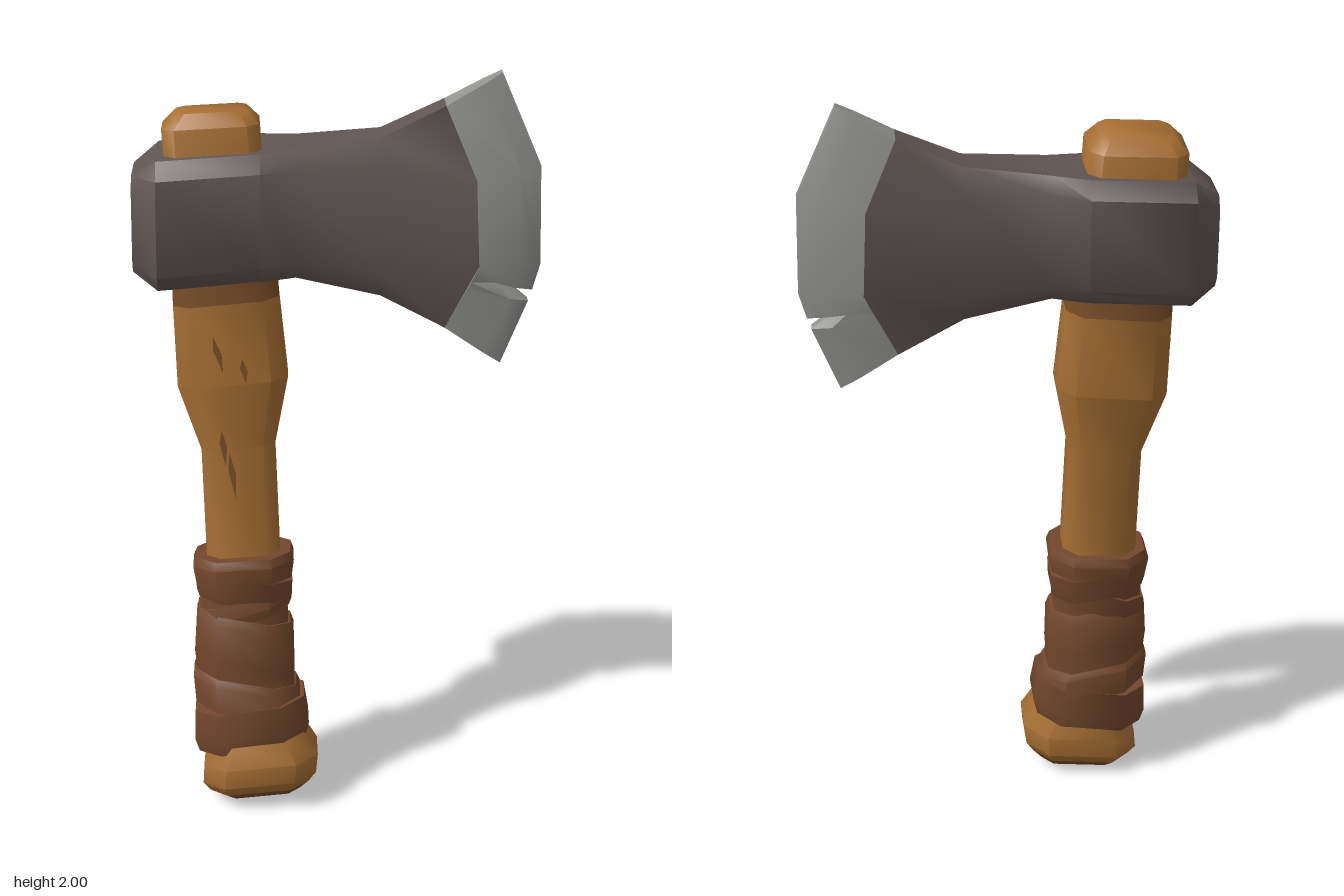
import * as THREE from 'three';
import { toCreasedNormals } from 'three/addons/utils/BufferGeometryUtils.js';

const flat = (name, color) => {
  const m = new THREE.MeshStandardMaterial({ color });
  m.name = name;
  return m;
};

// Skin a list of closed rings of [x, y, z] points, with both ends capped.
function loft(rings, crease) {
  const n = rings[0].length, last = (rings.length - 1) * n;
  const pts = rings.flat(), idx = [];
  for (let r = 0; r < rings.length - 1; r++) {
    for (let i = 0; i < n; i++) {
      const a = r * n + i, b = r * n + (i + 1) % n;
      idx.push(a, b, b + n, a, b + n, a + n);
    }
  }
  for (let i = 1; i < n - 1; i++) {
    idx.push(0, i + 1, i, last, last + i, last + i + 1);
  }
  // Turn the faces outwards when the enclosed volume comes out negative.
  let volume = 0;
  const [a, b, c] = [0, 1, 2].map(() => new THREE.Vector3());
  for (let i = 0; i < idx.length; i += 3) {
    a.fromArray(pts[idx[i]]);
    b.fromArray(pts[idx[i + 1]]);
    c.fromArray(pts[idx[i + 2]]);
    volume += a.dot(b.cross(c));
  }
  if (volume < 0) idx.reverse();
  const g = new THREE.BufferGeometry();
  g.setAttribute('position', new THREE.Float32BufferAttribute(pts.flat(), 3));
  g.setIndex(idx);
  return toCreasedNormals(g, crease);
}

// Chamfered rectangle across the leaning handle; slope tilts it sideways.
function section([y, x0, x1, z0, z1], cut = 0.25, slope = 0.09) {
  const cx = (x0 + x1) / 2, cz = (z0 + z1) / 2;
  const w = (x1 - x0) / 2, d = (z1 - z0) / 2;
  const k = 2 * cut * Math.min(w, d);
  const corners = [[w, d - k], [w - k, d], [k - w, d], [-w, d - k],
    [-w, k - d], [k - w, -d], [w - k, -d], [w, k - d]];
  return corners.map(([x, z]) =>
    [cx + x + 0.08 * z, y + slope * x + 0.07 * z, cz + z - 0.08 * x]);
}

export function createModel() {
  const wood = flat('wood', 0xa87034);
  const stain = flat('dark wood', 0x7b4e28);
  const leather = flat('leather', 0x74482d);
  const iron = flat('iron', 0x5f5552);
  const steel = flat('steel', 0x92928f);

  const axe = new THREE.Group();
  axe.name = 'axe';
  const add = (name, geometry, material, parent = axe) => {
    const mesh = new THREE.Mesh(geometry, material);
    mesh.name = name;
    parent.add(mesh);
    return mesh;
  };

  // Handle: y, x range, z range
  const handle = new THREE.Group();
  handle.name = 'handle';
  axe.add(handle);
  const foot = [0.045, -0.345, -0.075, -0.02, 0.18];
  const neck = [1.42, -0.428, -0.152, -0.1, 0.072];
  const shaft = [foot,
    [0.075, -0.365, -0.055, -0.04, 0.2], [0.13, -0.36, -0.05, -0.04, 0.2],
    [0.2, -0.335, -0.09, -0.03, 0.18], [0.27, -0.33, -0.12, -0.03, 0.15],
    [0.72, -0.35, -0.153, -0.055, 0.095], [1.02, -0.36, -0.164, -0.06, 0.07],
    [1.2, -0.42, -0.13, -0.1, 0.08], neck];
  add('shaft', loft(shaft.map(r => section(r)), 0.8), wood, handle);
  add('footStain', loft([[0.015, -0.31, -0.1, 0.01, 0.14], foot].map(r => section(r)), 0.6),
    stain, handle);
  add('neckStain', loft([neck, [1.56, -0.43, -0.16, -0.1, 0.07]].map(r => section(r)), 0.8),
    stain, handle);
  const peg = [[1.7, -0.44, -0.19, -0.15, 0.03], [1.875, -0.452, -0.202, -0.155, 0.035],
    [1.912, -0.415, -0.235, -0.125, 0.005]];
  add('peg', loft(peg.map(r => section(r, 0.17, 0.05)), 0.9), wood, handle);

  // Cracks in the front of the wood: x, y, z, height, lean
  [[-0.305, 1.29, 0.077, 0.1, 0.25], [-0.238, 1.245, 0.073, 0.07, 0.15],
    [-0.295, 1.03, 0.076, 0.1, 0.1], [-0.272, 0.95, 0.077, 0.13, 0.12]
  ].forEach(([x, y, z, h, lean]) => {
    const w = 0.009;
    const shape = new THREE.Shape([[0, -h / 2], [w, 0], [0, h / 2], [-w, h / 6]]
      .map(p => new THREE.Vector2(...p)));
    const crack = add('crack', new THREE.ExtrudeGeometry(shape,
      { depth: 0.008, bevelEnabled: false }), stain, handle);
    crack.position.set(x, y, z);
    crack.rotation.set(-0.04, 0.08, lean);
  });

  // Leather grip: an underlay, three overlapping bands and a crossing strap
  const grip = new THREE.Group();
  grip.name = 'grip';
  axe.add(grip);
  const wraps = [
    ['gripUnderlay', 0.09, [[0.22, -0.355, -0.1, -0.04, 0.165], [0.45, -0.365, -0.13, -0.045, 0.145],
      [0.69, -0.37, -0.135, -0.06, 0.115]]],
    ['lowerBand', 0.14, [[0.17, -0.375, -0.085, -0.045, 0.18], [0.21, -0.387, -0.075, -0.053, 0.187],
      [0.29, -0.385, -0.088, -0.055, 0.175]]],
    ['lowerBandTop', -0.2, [[0.27, -0.382, -0.09, -0.053, 0.175], [0.345, -0.388, -0.1, -0.058, 0.168],
      [0.365, -0.378, -0.11, -0.05, 0.158]]],
    ['middleBand', -0.2, [[0.36, -0.378, -0.118, -0.05, 0.155], [0.42, -0.384, -0.114, -0.055, 0.155],
      [0.52, -0.378, -0.116, -0.058, 0.148], [0.545, -0.365, -0.125, -0.05, 0.138]]],
    ['crossStrap', 0.32, [[0.535, -0.37, -0.13, -0.055, 0.135], [0.56, -0.378, -0.125, -0.06, 0.138],
      [0.6, -0.375, -0.128, -0.06, 0.13]]],
    ['upperBand', -0.12, [[0.585, -0.37, -0.13, -0.06, 0.128], [0.61, -0.377, -0.122, -0.067, 0.135],
      [0.66, -0.38, -0.12, -0.075, 0.135]]],
    ['upperBandTop', 0.06, [[0.645, -0.378, -0.122, -0.072, 0.134], [0.695, -0.386, -0.116, -0.082, 0.138],
      [0.718, -0.376, -0.124, -0.074, 0.128]]],
  ];
  for (const [name, slope, rows] of wraps) {
    add(name, loft(rows.map(r => section(r, 0.27, slope)), 0.9), leather, grip);
  }

  // Head sections lean back with height and turn slightly with depth.
  const headPoint = (x, y, zc, dz) =>
    [x + 0.07 * dz, y, zc + dz - 0.065 * (y - 1.62)];

  // Iron body: x at four levels, y at four levels, z centre, half widths
  const same = x => [x, x, x, x];
  const backX = [0.275, 0.355, 0.365, 0.28], backY = [1.92, 1.735, 1.51, 1.335];
  const body = [
    [same(-0.53), [1.755, 1.72, 1.54, 1.505], -0.03, 0.095, 0.07],
    [same(-0.465), [1.802, 1.76, 1.51, 1.466], -0.033, 0.152, 0.11],
    [same(-0.2), [1.818, 1.775, 1.53, 1.485], -0.058, 0.148, 0.11],
    [same(-0.11), [1.823, 1.78, 1.535, 1.49], -0.062, 0.115, 0.085],
    [same(0.11), [1.845, 1.78, 1.5, 1.43], -0.083, 0.087, 0.055],
    [backX, backY, -0.105, 0.077, 0.045],
  ].map(([x, y, zc, wide, narrow]) => {
    const half = [narrow, wide, wide, narrow];
    return [0, 1, 2, 3, 3, 2, 1, 0].map((l, i) =>
      headPoint(x[l], y[l], zc, i < 4 ? half[l] : -half[l]));
  });
  add('headBody', loft(body, 0.75), iron);

  // Steel blade with a nick: back x, y, edge x, y, half thickness
  const blade = [
    [0.275, 1.92, 0.42, 2.0, 0.045], [0.355, 1.735, 0.525, 1.76, 0.077],
    [0.365, 1.51, 0.53, 1.5, 0.077], [0.352, 1.48, 0.51, 1.43, 0.072],
    [0.345, 1.465, 0.43, 1.457, 0.07], [0.335, 1.445, 0.5, 1.4, 0.066],
    [0.28, 1.335, 0.43, 1.23, 0.045],
  ].map(([bx, by, ex, ey, t]) => {
    const outline = [[0, t], [0.68, t * 0.72], [1, 0.016], [1, -0.016], [0.68, -t * 0.72], [0, -t]];
    return outline.map(([u, dz]) => headPoint(
      THREE.MathUtils.lerp(bx, ex, u), THREE.MathUtils.lerp(by, ey, u), -0.105 - 0.008 * u, dz));
  });
  add('blade', loft(blade, 0.6), steel);

  return axe;
}
